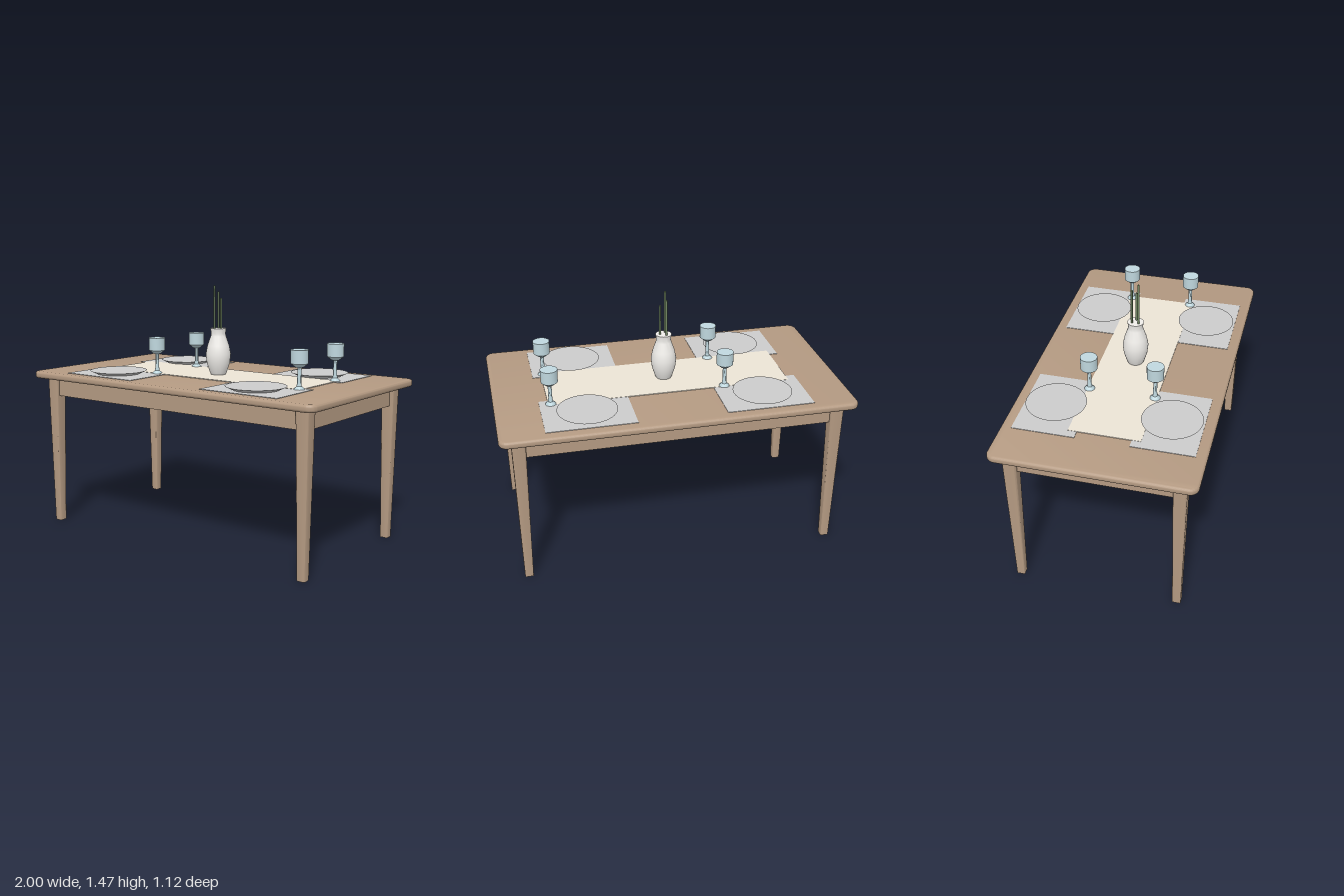
import * as THREE from 'three';
import { toCreasedNormals } from 'three/addons/utils/BufferGeometryUtils.js';

const mat = (color) => new THREE.MeshStandardMaterial({ color });
const wood = mat(0xb49a82);
const grey = mat(0xcccccc);
const cloth = mat(0xece4d6);
const glass = mat(0xc0d8df);
const ceramic = mat(0xf0eeea);
const green = mat(0x6f8560);

const TOP = 0.942; // height of the table surface

function add(parent, name, geometry, material, x = 0, y = 0, z = 0) {
  const mesh = new THREE.Mesh(geometry, material);
  mesh.name = name;
  mesh.position.set(x, y, z);
  parent.add(mesh);
  return mesh;
}

function roundedRect(w, d, r) {
  const s = new THREE.Shape(), x = w / 2, y = d / 2;
  s.absarc(x - r, y - r, r, 0, Math.PI / 2);
  s.absarc(-x + r, y - r, r, Math.PI / 2, Math.PI);
  s.absarc(-x + r, -y + r, r, Math.PI, Math.PI * 1.5);
  s.absarc(x - r, -y + r, r, Math.PI * 1.5, Math.PI * 2);
  return s;
}

// Rounded slab lying flat, with softened edges
function slab(w, h, d, radius, bevel) {
  const g = new THREE.ExtrudeGeometry(roundedRect(w - 2 * bevel, d - 2 * bevel, radius - bevel), {
    depth: h - 2 * bevel, bevelThickness: bevel, bevelSize: bevel, bevelSegments: 4, curveSegments: 6,
  });
  g.rotateX(-Math.PI / 2).translate(0, bevel, 0);
  return toCreasedNormals(g, 0.6);
}

// Square leg with rounded corners, narrowing towards the floor
function legGeometry(height, topWidth, bottomWidth) {
  const g = new THREE.ExtrudeGeometry(roundedRect(1, 1, 0.15), {
    depth: height, bevelEnabled: false, curveSegments: 4,
  });
  g.rotateX(-Math.PI / 2);
  const p = g.attributes.position;
  for (let i = 0; i < p.count; i++) {
    const w = THREE.MathUtils.lerp(bottomWidth, topWidth, p.getY(i) / height);
    p.setXYZ(i, p.getX(i) * w, p.getY(i), p.getZ(i) * w);
  }
  g.computeVertexNormals();
  return toCreasedNormals(g, 0.6);
}

function lathe(points, segments) {
  const g = new THREE.LatheGeometry(points.map(([r, y]) => new THREE.Vector2(r, y)), segments);
  return toCreasedNormals(g, 0.6);
}

export function createModel() {
  const model = new THREE.Group();
  model.name = 'diningTable';

  // Table
  add(model, 'tableTop', slab(2, 0.042, 1.12, 0.05, 0.015), wood, 0, 0.9, 0);
  const leg = legGeometry(0.902, 0.078, 0.048);
  for (const sx of [-1, 1]) for (const sz of [-1, 1]) add(model, 'leg', leg, wood, sx * 0.895, 0, sz * 0.457);
  const longApron = new THREE.BoxGeometry(1.74, 0.11, 0.035);
  const shortApron = new THREE.BoxGeometry(0.035, 0.11, 0.86);
  for (const s of [-1, 1]) {
    add(model, 'longApron', longApron, wood, 0, 0.847, s * 0.457);
    add(model, 'shortApron', shortApron, wood, s * 0.895, 0.847, 0);
  }

  // Runner lies over the place mats
  add(model, 'runner', new THREE.BoxGeometry(1.4, 0.005, 0.4), cloth, 0, TOP + 0.0015, 0);

  // Four place settings
  const placeMat = new THREE.BoxGeometry(0.5, 0.003, 0.35);
  const plate = new THREE.CylinderGeometry(0.168, 0.13, 0.018, 48);
  const goblet = lathe([
    [0, 0], [0.03, 0], [0.028, 0.005], [0.014, 0.018], [0.011, 0.04], [0.011, 0.117],
    [0.022, 0.12], [0.047, 0.14], [0.048, 0.214], [0, 0.214],
  ], 28);
  for (const x of [-0.5, 0.5]) for (const sz of [-1, 1]) {
    const setting = new THREE.Group();
    setting.name = 'placeSetting';
    add(setting, 'placeMat', placeMat, grey, x, TOP + 0.0012, sz * 0.325);
    add(setting, 'plate', plate, grey, x, TOP + 0.0125, sz * 0.325);
    add(setting, 'goblet', goblet, glass, x + 0.185, TOP + 0.002, sz * 0.188);
    model.add(setting);
  }

  // Vase with three stems
  add(model, 'vase', lathe([
    [0, 0], [0.042, 0], [0.05, 0.015], [0.068, 0.07], [0.074, 0.125],
    [0.064, 0.175], [0.045, 0.23], [0.042, 0.245], [0.047, 0.276], [0, 0.276],
  ], 28), ceramic, 0, TOP, 0);
  for (const [x, z, top] of [[-0.013, 0.02, 1.468], [-0.013, -0.019, 1.43], [0.021, 0, 1.394]]) {
    const h = top - 1.2;
    add(model, 'stem', new THREE.CylinderGeometry(0.006, 0.006, h, 10), green, x, 1.2 + h / 2, z);
  }
  return model;
}
